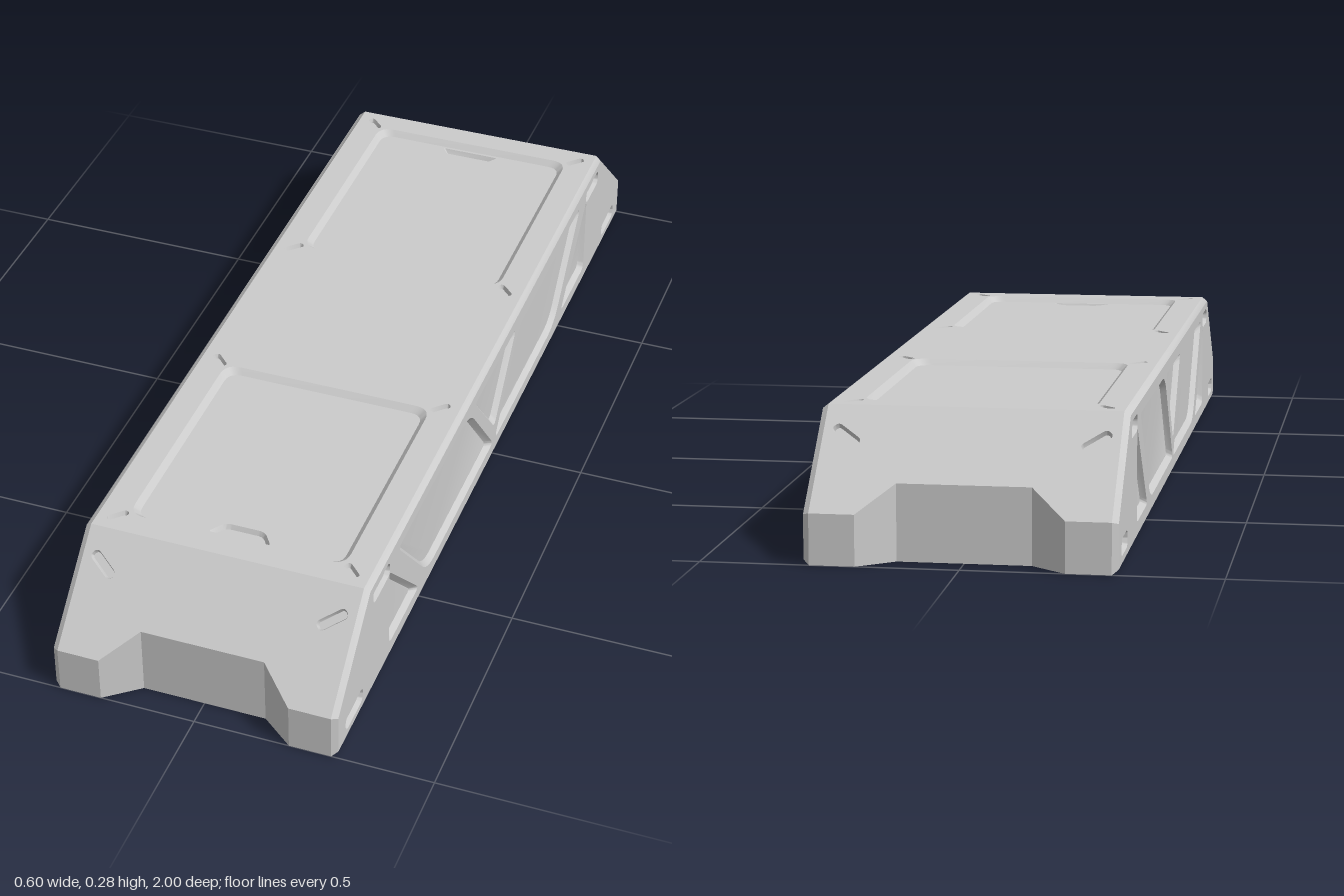
import * as THREE from 'three';
import { toCreasedNormals } from 'three/addons/utils/BufferGeometryUtils.js';

const W = 0.3, H = 0.277, TOP_Z = 0.81, LIP_Y = 0.1, CH = 0.012;
const SLOPE = Math.hypot(1 - TOP_Z, H - LIP_Y);
const material = new THREE.MeshStandardMaterial({ color: 0xcccccc });
const V2 = (p) => new THREE.Vector2(p[0], p[1]);

function makeMesh(name, positions) {
  const g = new THREE.BufferGeometry();
  g.setAttribute('position', new THREE.Float32BufferAttribute(positions, 3));
  const mesh = new THREE.Mesh(toCreasedNormals(g, 0.6), material);
  mesh.name = name;
  return mesh;
}

// Counter-clockwise copy of a polygon
function ccw(points) {
  const p = points.map(V2);
  return THREE.ShapeUtils.area(p) < 0 ? p.reverse() : p;
}

// Move every edge of a polygon inward by d
function inset(pts, d) {
  const n = pts.length;
  const normal = (a, b) => new THREE.Vector2(a.y - b.y, b.x - a.x).normalize();
  return pts.map((p, i) => {
    const n1 = normal(pts[(i + n - 1) % n], p), n2 = normal(p, pts[(i + 1) % n]);
    return p.clone().addScaledVector(n1.clone().add(n2), d / (1 + n1.dot(n2)));
  });
}

// Round the corners of a polygon, wider at obtuse corners
function rounded(pts, cut) {
  const out = [], n = pts.length, steps = 6;
  pts.forEach((p, i) => {
    const a = pts[(i + n - 1) % n].clone().sub(p), b = pts[(i + 1) % n].clone().sub(p);
    const cos = a.dot(b) / (a.length() * b.length());
    const t = Math.min(cos < -0.3 ? cut * 2.2 : cut, a.length() * 0.49, b.length() * 0.49);
    const curve = new THREE.QuadraticBezierCurve(
      p.clone().addScaledVector(a.normalize(), t), p, p.clone().addScaledVector(b.normalize(), t));
    out.push(...curve.getPoints(steps));
  });
  return out;
}

// Flat area with holes at height z
function fill(out, outline, holes, z) {
  const all = [outline, ...holes].flat();
  for (const f of THREE.ShapeUtils.triangulateShape(outline, holes)) {
    const [a, b, c] = f.map((i) => all[i]);
    const up = (b.x - a.x) * (c.y - a.y) - (b.y - a.y) * (c.x - a.x) > 0;
    for (const p of up ? [a, b, c] : [a, c, b]) out.push(p.x, p.y, z);
  }
}

// Band between two matching rings, the outer one first
function band(out, r1, z1, r2, z2) {
  r1.forEach((a, i) => {
    const j = (i + 1) % r1.length, b = r1[j], c = r2[j], d = r2[i];
    out.push(a.x, a.y, z1, b.x, b.y, z1, c.x, c.y, z2, a.x, a.y, z1, c.x, c.y, z2, d.x, d.y, z2);
  });
}

// Recess with a sloped rim, optionally holding further recesses in its floor
function addPocket(group, pk, z) {
  const base = ccw(pk.pts), out = [];
  const rim = rounded(base, pk.cut), floor = rounded(inset(base, pk.rim), pk.cut * 0.85);
  const inner = (pk.inner || []).map((q) => addPocket(group, q, z - pk.depth));
  band(out, rim, z, floor, z - pk.depth);
  fill(out, floor, inner, z - pk.depth);
  group.add(makeMesh(pk.name, out));
  return rim;
}

// Flat plate with recesses and an optional chamfered border
function plate(name, outline, pockets = [], chamfer = 0) {
  const group = new THREE.Group(), out = [];
  group.name = name;
  const outer = ccw(outline), face = chamfer ? inset(outer, 0.009) : outer;
  if (chamfer) band(out, outer, -chamfer, face, 0);
  fill(out, face, pockets.map((p) => addPocket(group, p, 0)), 0);
  group.add(makeMesh(name + 'Surface', out));
  return group;
}

// Set a plate in space by its two in-plane axes and origin
function place(obj, u, v, origin) {
  const U = new THREE.Vector3(...u), V = new THREE.Vector3(...v);
  const m = new THREE.Matrix4().makeBasis(U, V, U.clone().cross(V)).setPosition(...origin);
  obj.applyMatrix4(m);
  return obj;
}

// Capsule slot given by centre, direction, length and width
function slot(name, x, y, dx, dy, length, width) {
  const k = Math.hypot(dx, dy), a = dx / k * length / 2, b = dy / k * length / 2;
  const c = -dy / k * width / 2, d = dx / k * width / 2;
  return { name, cut: width * 0.49, rim: 0.003, depth: 0.01,
    pts: [[x - a - c, y - b - d], [x + a - c, y + b - d], [x + a + c, y + b + d], [x - a + c, y - b + d]] };
}

// Long side with its truss-shaped recesses and slots
function makeSide() {
  const panel = (pts, cut) => ({ name: 'sidePanel', pts, cut, rim: 0.01, depth: 0.012 });
  const pockets = [panel([[-0.145, 0.242], [0.145, 0.242], [0, 0.075]], 0.018)];
  for (const s of [-1, 1]) {
    const flip = (pts) => pts.map(([x, y]) => [x * s, y]);
    pockets.push(
      panel(flip([[0.64, 0.243], [0.18, 0.243], [0.006, 0.035], [0.455, 0.035]]), 0.022),
      panel(flip([[0.695, 0.228], [0.695, 0.035], [0.51, 0.035]]), 0.018),
      slot('sideSlot', 0.74 * s, 0.236, 1, 0, 0.1, 0.034),
      slot('sideSlot', 0.9 * s, 0.04, 1, 0, 0.1, 0.034));
  }
  const outline = [[-1, 0], [1, 0], [1, LIP_Y], [TOP_Z, H], [-TOP_Z, H], [-1, LIP_Y]];
  return place(plate('side', outline, pockets, CH), [0, 0, -1], [0, 1, 0], [W, 0, 0]);
}

// Top with two hatches, each with a finger latch and corner slots
function makeTop() {
  const x = W - CH, pockets = [];
  for (const s of [-1, 1]) {
    const latch = { name: 'hatchLatch', cut: 0.006, rim: 0.005, depth: 0.01,
      pts: [[-0.066, 0.739 * s], [0.066, 0.739 * s], [0.042, 0.705 * s], [-0.042, 0.705 * s]] };
    pockets.push({ name: 'hatch', cut: 0.035, rim: 0.012, depth: 0.012, inner: [latch],
      pts: [[-0.23, 0.233 * s], [0.23, 0.233 * s], [0.23, 0.757 * s], [-0.23, 0.757 * s]] });
    for (const t of [-1, 1]) {
      pockets.push(slot('topSlot', 0.248 * t, 0.768 * s, t, s, 0.045, 0.016),
        slot('topSlot', 0.248 * t, 0.223 * s, t, -s, 0.045, 0.016));
    }
  }
  const outline = [[-x, -TOP_Z], [x, -TOP_Z], [x, TOP_Z], [-x, TOP_Z]];
  return place(plate('top', outline, pockets), [1, 0, 0], [0, 0, -1], [0, H, 0]);
}

// Plan outline of one end, with its notch
const END = [[-W + CH, 1], [-0.2, 1], [-0.13, 0.945], [0.13, 0.945], [0.2, 1], [W - CH, 1]];

// Sloped end face and the upright notched wall below it
function makeEnd() {
  const group = new THREE.Group(), x = W - CH, run = 1 - TOP_Z, rise = H - LIP_Y;
  group.name = 'end';
  const along = (z) => -(z - TOP_Z) / run * SLOPE;
  const outline = [[-x, 0], ...END.map(([px, z]) => [px, along(z)]), [x, 0]];
  const slots = [-1, 1].map((s) => slot('endSlot', 0.242 * s, -0.073, s * 0.045, 0.036, 0.066, 0.022));
  group.add(place(plate('slope', outline, slots),
    [1, 0, 0], [0, rise / SLOPE, -run / SLOPE], [0, H, TOP_Z]));
  const wall = [], height = (z) => H - (z - TOP_Z) / run * rise;
  for (let i = 0; i < END.length - 1; i++) {
    const [ax, az] = END[i], [bx, bz] = END[i + 1];
    wall.push(ax, 0, az, bx, 0, bz, bx, height(bz), bz, ax, 0, az, bx, height(bz), bz, ax, height(az), az);
  }
  group.add(makeMesh('endWall', wall));
  return group;
}

export function createModel() {
  const model = new THREE.Group();
  model.name = 'equipmentCase';
  model.add(makeTop());
  // Two matching halves, turned half a circle
  for (const turn of [0, Math.PI]) {
    const half = new THREE.Group();
    half.name = turn ? 'rearHalf' : 'frontHalf';
    half.add(makeSide(), makeEnd());
    half.rotation.y = turn;
    model.add(half);
  }
  const footprint = [...END, ...END.map(([x, z]) => [-x, -z])];
  model.add(place(plate('bottom', footprint), [1, 0, 0], [0, 0, 1], [0, 0, 0]));
  return model;
}
